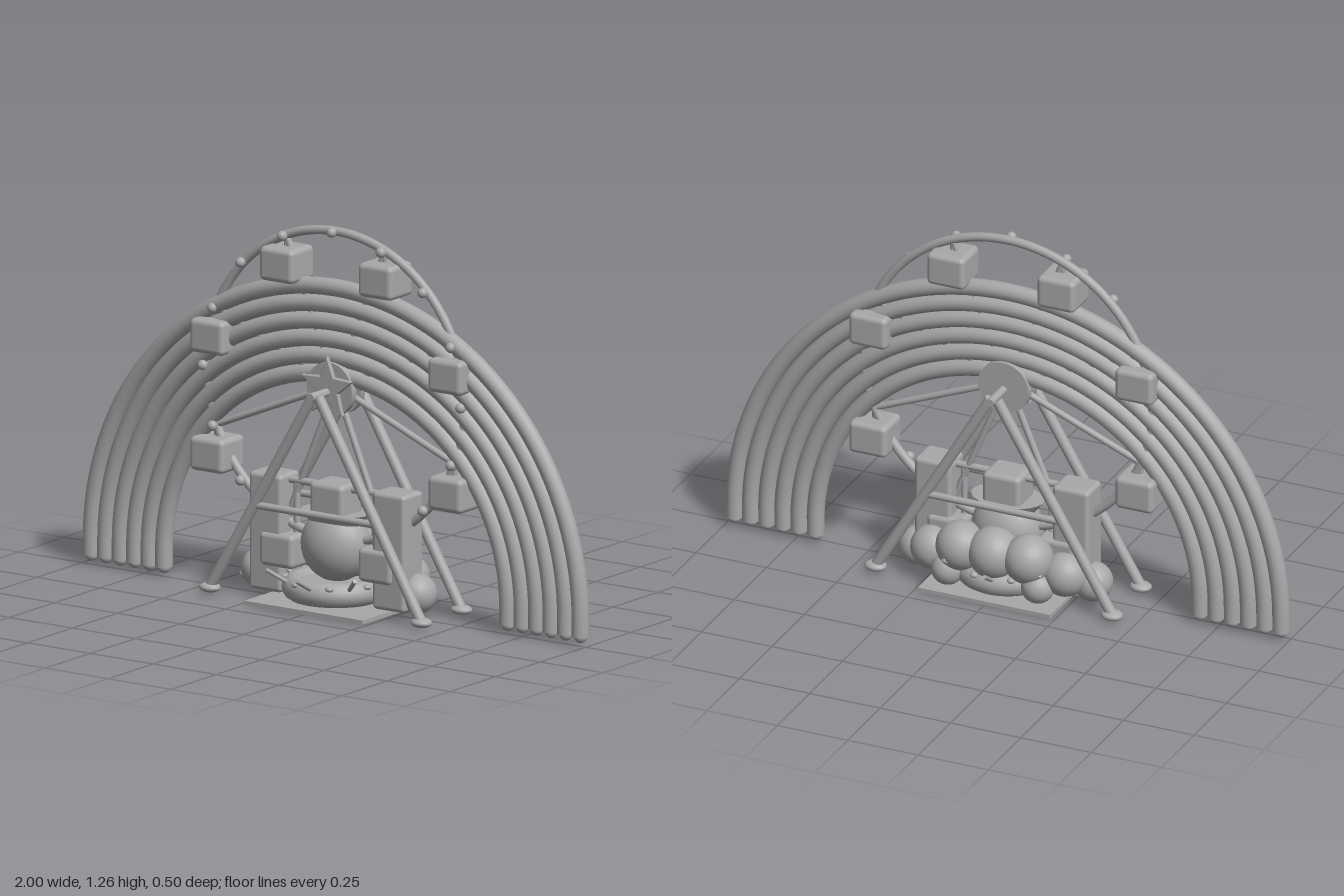
import * as THREE from 'three';
import { RoundedBoxGeometry } from 'three/addons/geometries/RoundedBoxGeometry.js';

export function createModel() {
  const model = new THREE.Group();
  const grey = new THREE.MeshStandardMaterial({ color: 0xa8a8a8 });
  grey.name = 'plain grey';
  const Z = -0.013; // shared centre plane of arch and wheel
  const HUB = 0.727, RIM = 0.512;

  const add = (name, geometry, x = 0, y = 0, z = 0, parent = model) => {
    const m = new THREE.Mesh(geometry, grey);
    m.name = name;
    m.position.set(x, y, z);
    parent.add(m);
    return m;
  };
  const group = (name) => {
    const g = new THREE.Group();
    g.name = name;
    model.add(g);
    return g;
  };
  const rod = (name, a, b, r, parent = model) => {
    const from = new THREE.Vector3(...a), to = new THREE.Vector3(...b);
    const dir = to.clone().sub(from);
    const m = add(name, new THREE.CylinderGeometry(r, r, dir.length(), 14), 0, 0, 0, parent);
    m.position.copy(from).add(to).multiplyScalar(0.5);
    m.quaternion.setFromUnitVectors(new THREE.Vector3(0, 1, 0), dir.normalize());
    return m;
  };
  const ball = (name, r, x, y, z, parent = model) =>
    add(name, new THREE.SphereGeometry(r, 24, 16), x, y, z, parent);

  // Rainbow: six nested arches with short straight feet and rounded ends
  const rainbow = group('rainbow');
  for (let i = 0; i < 6; i++) {
    const r = 0.971 - i * 0.0575;
    add('rainbowBand', new THREE.TorusGeometry(r, 0.029, 14, 72, Math.PI), 0, 0.08, Z, rainbow);
    for (const s of [-1, 1]) {
      rod('rainbowFoot', [s * r, 0.03, Z], [s * r, 0.08, Z], 0.029, rainbow);
      ball('rainbowTip', 0.022, s * r, 0.03, Z, rainbow);
    }
  }

  // Ferris wheel: rim, lamps, spokes and hanging cabins
  const wheel = group('ferrisWheel');
  add('rim', new THREE.TorusGeometry(RIM, 0.015, 12, 96), 0, HUB, Z, wheel);
  for (let i = 0; i < 16; i++) {
    const a = (i * Math.PI) / 8 + Math.PI / 2;
    const x = Math.cos(a) * RIM, y = HUB + Math.sin(a) * RIM;
    ball('lamp', 0.017, x, y, 0.012, wheel);
    if (i % 2) {
      rod('spoke', [0, HUB, Z], [x, y, Z], 0.011, wheel);
      rod('hanger', [x, y, Z], [x, y - 0.05, Z], 0.009, wheel);
      add('cabin', new RoundedBoxGeometry(0.135, 0.113, 0.13, 3, 0.018), x, y - 0.092, Z, wheel);
    }
  }

  // Hub: discs, axle and star
  for (const z of [-0.038, 0.012]) {
    add('hubDisc', new THREE.CylinderGeometry(0.09, 0.09, 0.025, 32), 0, HUB - 0.007, z, wheel).rotation.x = Math.PI / 2;
  }
  rod('axle', [0, 0.713, -0.155], [0, 0.713, 0.13], 0.014, wheel);
  const star = new THREE.Shape();
  for (let i = 0; i < 10; i++) {
    const r = i % 2 ? 0.042 : 0.1, a = Math.PI / 2 + (i * Math.PI) / 5;
    star[i ? 'lineTo' : 'moveTo'](r * Math.cos(a), r * Math.sin(a));
  }
  add('star', new THREE.ExtrudeGeometry(star, {
    depth: 0.008, bevelSize: 0.004, bevelThickness: 0.004, bevelSegments: 1,
  }), 0, HUB, 0.028, wheel);

  // Support frames in front of and behind the wheel
  const frames = group('supportFrames');
  for (const z of [0.1, -0.122]) {
    for (const s of [-1, 1]) {
      rod('leg', [s * 0.42, 0.02, z], [s * 0.012, 0.71, z], 0.018, frames);
      ball('foot', 0.037, s * 0.42, 0.02, z, frames).scale.set(1, 0.45, 0.85);
    }
    rod('crossbar', [-0.245, 0.318, z], [0.245, 0.318, z], 0.012, frames);
  }

  // Base plate
  add('basePlate', new THREE.BoxGeometry(0.47, 0.014, 0.365), 0, 0.007, -0.015);

  // Towers joined by a top rail, with a central block
  const station = group('station');
  for (const s of [-1, 1]) {
    add('tower', new RoundedBoxGeometry(0.13, 0.39, 0.11, 3, 0.015), s * 0.245, 0.215, Z, station);
    rod('post', [s * 0.155, 0.1, Z], [s * 0.155, 0.395, Z], 0.011, station);
  }
  rod('topRail', [-0.2, 0.39, Z], [0.2, 0.39, Z], 0.012, station);
  add('centreBlock', new RoundedBoxGeometry(0.135, 0.14, 0.12, 3, 0.018), 0, 0.34, Z, station);

  // Cloud puffs along the back and sides
  const clouds = group('clouds');
  for (const s of [-1, 1]) {
    ball('puff', 0.066, s * 0.31, 0.076, -0.03, clouds);
    ball('puff', 0.075, s * 0.235, 0.11, -0.08, clouds);
    ball('puff', 0.083, s * 0.12, 0.155, -0.115, clouds);
    ball('puff', 0.055, s * 0.16, 0.07, -0.13, clouds);
  }
  ball('puff', 0.088, 0, 0.155, -0.117, clouds);

  // Round ride: ringed saucer, dome, flared cap, beads and slanted rods
  const ride = group('roundRide');
  add('saucerRing', new THREE.TorusGeometry(0.135, 0.041, 16, 48), 0, 0.061, Z, ride).rotation.x = Math.PI / 2;
  add('saucerCore', new THREE.CylinderGeometry(0.135, 0.12, 0.06, 32), 0, 0.055, Z, ride);
  ball('dome', 0.122, 0, 0.2, Z, ride).scale.z = 0.8;
  add('cap', new THREE.CylinderGeometry(0.125, 0.09, 0.045, 32), 0, 0.288, Z, ride).scale.z = 0.68;
  for (let i = 0; i < 8; i++) {
    const a = (i * Math.PI) / 4 + 0.1;
    const at = (r, y) => [Math.sin(a) * r, y, Z + Math.cos(a) * r];
    rod('slantedRod', at(0.15, 0.075), at(i === 0 ? 0.26 : 0.235, 0.13), 0.007, ride);
    const b = a + Math.PI / 8;
    ball('bead', 0.014, Math.sin(b) * 0.165, 0.088, Z + Math.cos(b) * 0.165, ride).scale.y = 0.7;
  }

  return model;
}
